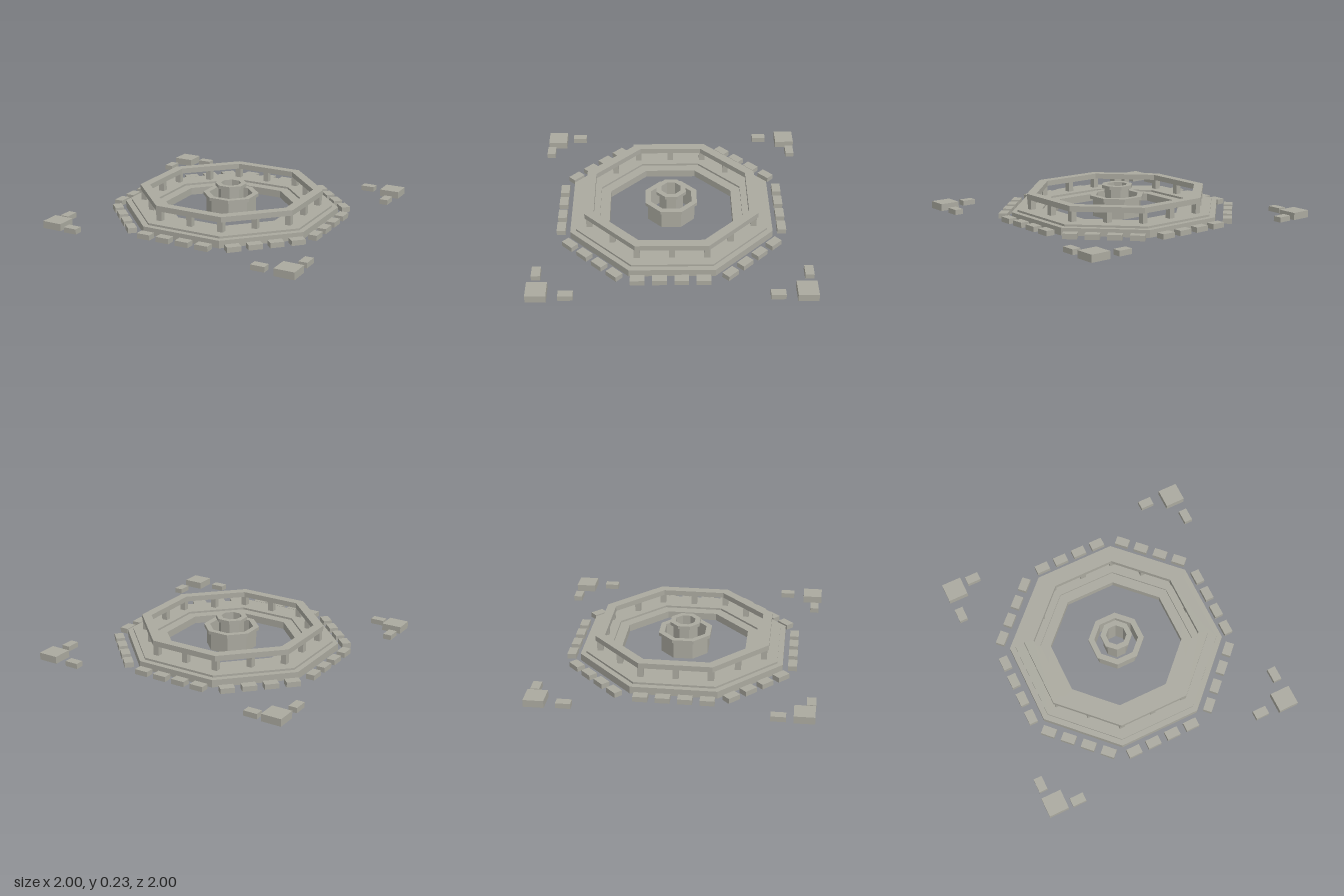
import * as THREE from 'three';

export function createModel() {
  const model = new THREE.Group();
  model.name = 'octagonalPlaza';
  const stone = new THREE.MeshStandardMaterial({ color: 0xaaa99f });
  stone.name = 'stone';

  // Regular octagon corners with flat sides facing the axes
  const octagon = (apothem) => {
    const r = apothem / Math.cos(Math.PI / 8);
    return Array.from({ length: 8 }, (_, i) => {
      const a = Math.PI / 8 + (i * Math.PI) / 4;
      return new THREE.Vector2(r * Math.cos(a), r * Math.sin(a));
    });
  };

  const add = (parent, geometry, name) => {
    const mesh = new THREE.Mesh(geometry, stone);
    mesh.name = name;
    parent.add(mesh);
    return mesh;
  };

  // Flat octagonal ring between two apothems and two heights
  const ring = (parent, name, outer, inner, y0, y1) => {
    const shape = new THREE.Shape(octagon(outer));
    shape.holes.push(new THREE.Path(octagon(inner).reverse()));
    const geometry = new THREE.ExtrudeGeometry(shape, { depth: y1 - y0, bevelEnabled: false });
    geometry.rotateX(-Math.PI / 2).translate(0, y0, 0);
    add(parent, geometry, name);
  };

  // Block standing between two heights
  const block = (parent, name, x, z, w, d, y0, y1, turn = 0) => {
    const mesh = add(parent, new THREE.BoxGeometry(w, y1 - y0, d), name);
    mesh.position.set(x, (y0 + y1) / 2, z);
    mesh.rotation.y = turn;
  };

  const centre = new THREE.Group();
  centre.name = 'centre';
  centre.position.set(-0.005, 0, -0.005);
  model.add(centre);

  // Stepped base and railing
  ring(centre, 'lowerStep', 0.735, 0.453, 0.01, 0.065);
  ring(centre, 'upperStep', 0.695, 0.525, 0.065, 0.08);
  ring(centre, 'handrail', 0.63, 0.563, 0.155, 0.195);

  // Railing posts at every corner and side middle
  const corners = octagon(0.597);
  corners.forEach((p, i) => {
    const mid = p.clone().add(corners[(i + 1) % 8]).multiplyScalar(0.5);
    for (const q of [p, mid]) block(centre, 'railingPost', q.x, q.y, 0.043, 0.043, 0.008, 0.155);
  });

  // Hollow basin with a lip, and the inner column with its cap
  ring(centre, 'basinWall', 0.172, 0.15, 0, 0.13);
  ring(centre, 'basinLip', 0.19, 0.15, 0.13, 0.155);
  ring(centre, 'innerColumn', 0.087, 0.07, 0, 0.205);
  ring(centre, 'columnCap', 0.108, 0.07, 0.205, 0.23);

  // Kerb stones, four along each side: centre of the row and its turn
  const rows = [
    [-0.016, 0.8, 0], [-0.016, -0.811, 0],
    [0.795, 0.007, 90], [-0.816, 0.007, 90],
    [0.567, 0.563, 45], [-0.594, -0.58, 45],
    [0.567, -0.576, -45], [-0.58, 0.56, -45],
  ];
  for (const [x, z, degrees] of rows) {
    const turn = THREE.MathUtils.degToRad(degrees);
    for (let i = 0; i < 4; i++) {
      const s = (i - 1.5) * 0.154;
      block(model, 'kerbStone', x + s * Math.cos(turn), z - s * Math.sin(turn),
        0.102, 0.065, 0.012, 0.05, turn);
    }
  }

  // Corner slabs
  for (const [x, z] of [[-0.926, -0.93], [0.924, -0.93], [-0.925, 0.9], [0.919, 0.927]]) {
    block(model, 'cornerSlab', x, z, 0.149, 0.144, 0.012, 0.065);
  }
  // Small stones beside each slab
  for (const x of [-0.766, 0.717]) {
    for (const z of [-0.962, 0.944]) block(model, 'cornerStone', x, z, 0.102, 0.064, 0.012, 0.05);
  }
  for (const x of [-0.961, 0.948]) {
    for (const z of [-0.728, 0.726]) block(model, 'cornerStone', x, z, 0.063, 0.104, 0.012, 0.05);
  }

  return model;
}
